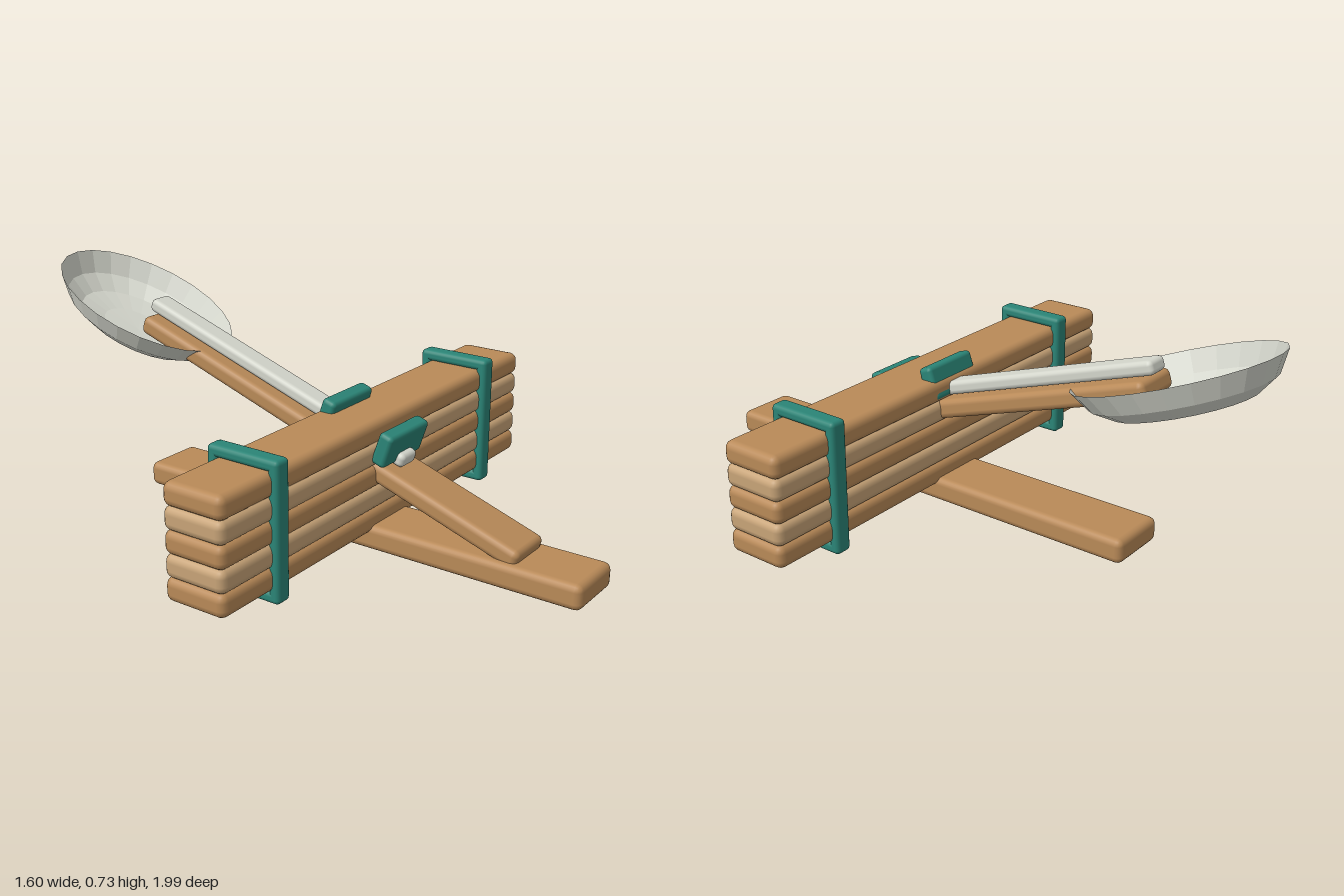
import * as THREE from 'three';
import { RoundedBoxGeometry } from 'three/addons/geometries/RoundedBoxGeometry.js';

const mat = (color, extra = {}) => new THREE.MeshStandardMaterial({ color, ...extra });

export function createModel() {
  const model = new THREE.Group();
  model.name = 'spoonCatapult';

  const wood = mat(0xb98a58);
  const paleWood = mat(0xc8a478);
  const rubber = mat(0x2b8577);
  const metal = mat(0xd4d6cc);
  const bowlMetal = mat(0xd4d6cc, { flatShading: true, side: THREE.DoubleSide });

  // Rounded bar given by its size and centre
  function bar(parent, name, material, size, pos, radius) {
    const mesh = new THREE.Mesh(new RoundedBoxGeometry(...size, 2, radius), material);
    mesh.position.set(...pos);
    mesh.name = name;
    parent.add(mesh);
    return mesh;
  }

  // Long stick lying on the ground
  bar(model, 'baseStick', wood, [0.21, 0.08, 1.59], [0, 0.04, 0.205], 0.022);

  // Stack of five crosswise sticks, alternating in tone
  const stack = new THREE.Group();
  stack.name = 'stickStack';
  for (let i = 0; i < 5; i++) {
    bar(stack, 'crossStick' + (i + 1), i % 2 ? paleWood : wood,
      [1.6, 0.074, 0.21], [0, 0.092 + i * 0.07, 0.205], 0.025);
  }
  model.add(stack);

  // Square rubber bands around both ends of the stack
  for (const side of [1, -1]) {
    const band = new THREE.Group();
    band.name = side > 0 ? 'leftBand' : 'rightBand';
    band.position.set(side * 0.56, 0.232, 0.205);
    for (const s of [1, -1]) {
      bar(band, 'bandUpright', rubber, [0.058, 0.426, 0.036], [0, 0, s * 0.106], 0.014);
      bar(band, 'bandCrosspiece', rubber, [0.058, 0.036, 0.248], [0, s * 0.195, 0], 0.014);
    }
    model.add(band);
  }

  // Tilted throwing arm with the spoon handle lashed on top
  const arm = new THREE.Group();
  arm.name = 'throwingArm';
  arm.position.set(0, 0.318, 0.08);
  arm.rotation.x = THREE.MathUtils.degToRad(18.5);
  bar(arm, 'armStick', wood, [0.165, 0.062, 1.49], [0, 0, 0], 0.02);
  bar(arm, 'spoonHandle', metal, [0.08, 0.045, 1.055], [0, 0.056, -0.234], 0.016);
  bar(arm, 'frontLashing', rubber, [0.21, 0.108, 0.05], [0, 0.094, 0.243], 0.014);
  bar(arm, 'backLashing', rubber, [0.21, 0.108, 0.05], [0, 0.091, 0.027], 0.014);
  model.add(arm);

  // Faceted oval spoon bowl
  const profile = [[0.001, -1], [0.4, -0.97], [0.68, -0.85], [0.87, -0.54], [1, 0]]
    .map(([r, y]) => new THREE.Vector2(r, y));
  const bowl = new THREE.Mesh(new THREE.LatheGeometry(profile, 24), bowlMetal);
  bowl.name = 'spoonBowl';
  bowl.scale.set(0.235, 0.122, 0.338);
  bowl.position.set(0, 0.615, -0.678);
  bowl.rotation.x = THREE.MathUtils.degToRad(20.7);
  model.add(bowl);

  return model;
}
